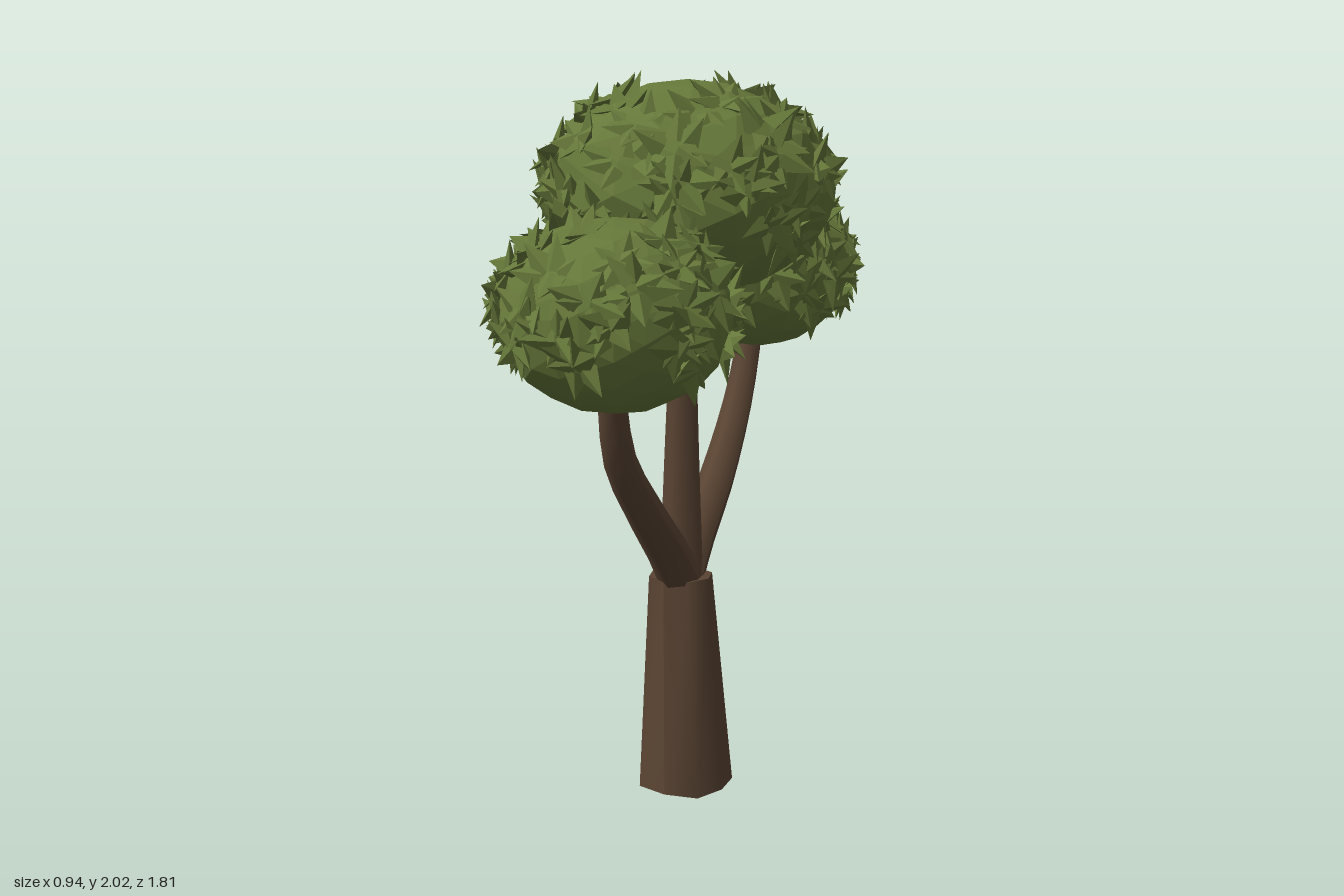
import * as THREE from 'three';
import { mergeGeometries } from 'three/addons/utils/BufferGeometryUtils.js';

const V = (x, y, z) => new THREE.Vector3(x, y, z);

function seeded(seed) {
  return () => {
    seed = (seed * 16807) % 2147483647;
    return seed / 2147483647;
  };
}

// Give every face its own normal
function faceted(geometry) {
  const g = geometry.index ? geometry.toNonIndexed() : geometry;
  g.computeVertexNormals();
  return g;
}

// Trunk, nearly square at the foot and leaning slightly as it rises
function trunkGeometry() {
  const g = new THREE.CylinderGeometry(0.092, 0.119, 0.61, 8, 1);
  g.translate(0, 0.305, 0);
  const pos = g.attributes.position;
  for (let i = 0; i < pos.count; i++) {
    let x = pos.getX(i), z = pos.getZ(i);
    const y = pos.getY(i);
    if (y < 0.01 && Math.abs(x * z) > 0.001) {
      x *= 1.15;
      z *= 1.15;
    }
    pos.setXYZ(i, x - 0.01 - 0.045 * y, y, z - 0.025 * y);
  }
  g.computeVertexNormals();
  return g;
}

// Tube that narrows along its path
function taperedTube(points, r0, r1) {
  const curve = new THREE.CatmullRomCurve3(points);
  const rings = 10, sides = 8;
  const g = new THREE.TubeGeometry(curve, rings, 1, sides);
  const pos = g.attributes.position, p = V(0, 0, 0);
  for (let i = 0; i < pos.count; i++) {
    const t = Math.floor(i / (sides + 1)) / rings;
    const c = curve.getPointAt(t);
    p.fromBufferAttribute(pos, i).sub(c).multiplyScalar(r0 + (r1 - r0) * t).add(c);
    pos.setXYZ(i, p.x, p.y, p.z);
  }
  g.computeVertexNormals();
  return g;
}

// Uneven faceted ball
function foliageCore(radii, seed) {
  const g = new THREE.IcosahedronGeometry(1, 3);
  const pos = g.attributes.position, p = V(0, 0, 0);
  for (let i = 0; i < pos.count; i++) {
    p.fromBufferAttribute(pos, i);
    const jitter = Math.sin(p.x * 23 + p.y * 31 + p.z * 17 + seed);
    p.multiplyScalar(1.015 + 0.022 * jitter).multiply(radii);
    pos.setXYZ(i, p.x, p.y, p.z);
  }
  return faceted(g);
}

// Rosettes of broad leaves lying on the ball with lifted tips, sparse at crown and underside
function leafRosettes(radii, seed, count) {
  const rand = seeded(seed * 7919);
  const leaf = new THREE.ConeGeometry(0.04, 0.085, 4, 1, true);
  leaf.translate(0, 0.03, 0).scale(1, 1, 0.5);
  const leaves = [], matrix = new THREE.Matrix4();
  for (let i = 0; i < count; i++) {
    const y = -0.45 + 1.35 * (i + 0.5) / count;
    const a = i * 2.39996 + rand() * 0.6;
    const w = Math.sqrt(1 - y * y);
    const n = V(Math.cos(a) * w, y, Math.sin(a) * w);
    const side = V(-Math.sin(a), 0, Math.cos(a));
    const rise = n.clone().cross(side);
    for (let k = 0; k < 6; k++) {
      const b = k * Math.PI / 3 + rand();
      const fan = side.clone().multiplyScalar(Math.cos(b)).addScaledVector(rise, Math.sin(b));
      const root = n.clone().addScaledVector(fan, 0.05 + 0.12 * rand()).normalize().multiply(radii);
      const dir = n.clone().multiplyScalar(0.15 + 0.6 * rand()).add(fan).normalize();
      const across = fan.clone().cross(n).normalize();
      const s = 0.65 + 0.5 * rand();
      matrix.makeBasis(across, dir, across.clone().cross(dir))
        .scale(V(s, s, s)).setPosition(root);
      leaves.push(leaf.clone().applyMatrix4(matrix));
    }
  }
  return faceted(mergeGeometries(leaves));
}

export function createModel() {
  const tree = new THREE.Group();
  tree.name = 'tree';
  const bark = new THREE.MeshStandardMaterial({ name: 'barkBrown', color: 0x5a4433 });
  const green = new THREE.MeshStandardMaterial({ name: 'leafGreen', color: 0x66783a, side: THREE.DoubleSide });

  const add = (parent, name, geometry, material) => {
    const mesh = new THREE.Mesh(geometry, material);
    mesh.name = name;
    parent.add(mesh);
  };

  add(tree, 'trunk', trunkGeometry(), bark);

  // Three boughs
  add(tree, 'middleBough', taperedTube([V(-0.035, 0.55, -0.015), V(-0.03, 1, -0.01), V(-0.02, 1.5, -0.005)], 0.065, 0.03), bark);
  add(tree, 'frontBough', taperedTube([V(-0.035, 0.58, -0.02), V(-0.015, 0.68, 0.07), V(0.02, 0.84, 0.25),
    V(0.05, 1.03, 0.43), V(0.075, 1.19, 0.5), V(0.08, 1.28, 0.52)], 0.064, 0.036), bark);
  add(tree, 'backBough', taperedTube([V(-0.035, 0.58, -0.01), V(-0.05, 0.68, -0.1), V(-0.07, 0.84, -0.27),
    V(-0.095, 1.03, -0.43), V(-0.11, 1.19, -0.52), V(-0.11, 1.28, -0.54)], 0.064, 0.036), bark);

  // Three crowns: name, centre, radii, seed, rosettes
  [
    ['middleCrown', V(-0.01, 1.705, -0.01), V(0.4, 0.283, 0.36), 3, 58],
    ['frontCrown', V(0.13, 1.43, 0.57), V(0.297, 0.238, 0.285), 5, 46],
    ['backCrown', V(-0.13, 1.43, -0.57), V(0.305, 0.238, 0.285), 8, 46],
  ].forEach(([name, centre, radii, seed, count]) => {
    const crown = new THREE.Group();
    crown.name = name;
    crown.position.copy(centre);
    add(crown, 'foliageCore', foliageCore(radii, seed), green);
    add(crown, 'leaves', leafRosettes(radii, seed, count), green);
    tree.add(crown);
  });
  return tree;
}
